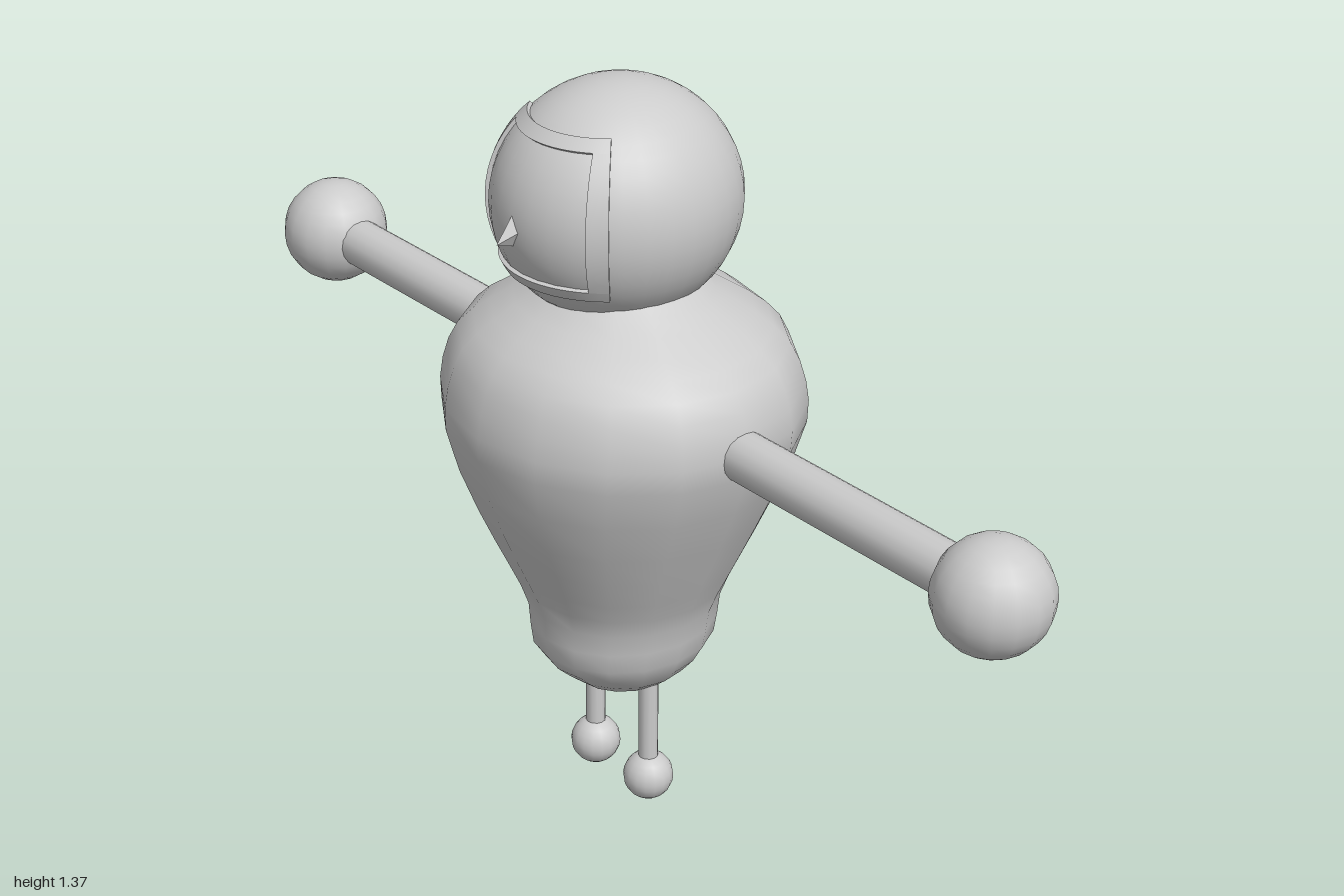
import * as THREE from 'three';
import { mergeVertices } from 'three/addons/utils/BufferGeometryUtils.js';

const material = new THREE.MeshStandardMaterial({ color: 0xcccccc });
const HEAD = new THREE.Vector3(-0.003, 1.16, -0.022);
const HEAD_R = new THREE.Vector3(0.222, 0.21, 0.207);
const deg = THREE.MathUtils.degToRad;

function add(parent, name, geometry, x = 0, y = 0, z = 0) {
  const mesh = new THREE.Mesh(geometry, material);
  mesh.name = name;
  mesh.position.set(x, y, z);
  parent.add(mesh);
  return mesh;
}

// Smooth pear-shaped torso: a lathe whose depth varies with height
function bodyGeometry() {
  // height, half width, half depth
  const rings = [
    [0.208, 0, 0], [0.22, 0.06, 0.055], [0.262, 0.12, 0.118], [0.32, 0.17, 0.156],
    [0.4, 0.176, 0.172], [0.48, 0.208, 0.208], [0.6, 0.262, 0.264], [0.76, 0.312, 0.33],
    [0.84, 0.305, 0.33], [0.91, 0.278, 0.3], [0.96, 0.225, 0.235], [1.005, 0.155, 0.165],
    [1.03, 0.13, 0.13], [1.04, 0, 0],
  ].map(([y, w, d]) => new THREE.Vector3(w, y, d));
  const points = new THREE.CatmullRomCurve3(rings).getPoints(26);
  const geo = new THREE.LatheGeometry(points.map(p => new THREE.Vector2(p.x, p.y)), 16);
  const pos = geo.attributes.position;
  for (let i = 0; i < pos.count; i++) {
    const p = points[i % points.length];
    if (p.x > 0) pos.setZ(i, pos.getZ(i) * p.z / p.x);
  }
  geo.deleteAttribute('uv');
  geo.deleteAttribute('normal');
  const merged = mergeVertices(geo);
  merged.computeVertexNormals();
  return merged;
}

// Block bent onto the head: azimuth and latitude ranges in degrees
function headBand(az0, az1, lat0, lat1) {
  const geo = new THREE.BoxGeometry(1, 1, 1, Math.ceil((az1 - az0) / 5), Math.ceil((lat1 - lat0) / 5), 1);
  const pos = geo.attributes.position;
  for (let i = 0; i < pos.count; i++) {
    const az = deg(THREE.MathUtils.lerp(az0, az1, pos.getX(i) + 0.5));
    const lat = deg(THREE.MathUtils.lerp(lat0, lat1, pos.getY(i) + 0.5));
    const r = pos.getZ(i) > 0 ? 1.03 : 0.95;
    pos.setXYZ(i,
      -Math.cos(lat) * Math.cos(az) * HEAD_R.x * r,
      Math.sin(lat) * HEAD_R.y * r,
      Math.cos(lat) * Math.sin(az) * HEAD_R.z * r);
  }
  geo.computeVertexNormals();
  return geo;
}

export function createModel() {
  const model = new THREE.Group();
  model.name = 'figure';

  add(model, 'body', bodyGeometry(), 0, 0, -0.01);

  // Head
  const skull = new THREE.SphereGeometry(1, 32, 24).scale(HEAD_R.x, HEAD_R.y, HEAD_R.z);
  add(model, 'head', skull, HEAD.x, HEAD.y, HEAD.z);

  // Raised frame around the face, which looks toward -x
  const frame = new THREE.Group();
  frame.name = 'faceFrame';
  frame.position.copy(HEAD);
  model.add(frame);
  add(frame, 'frameTop', headBand(-50, 50, 41, 48));
  add(frame, 'frameBottom', headBand(-50, 50, -31, -25));
  add(frame, 'frameSideA', headBand(-50, -40, -25, 41));
  add(frame, 'frameSideB', headBand(40, 50, -25, 41));

  // Pointed nose: triangular outline with the tip sunk toward its lower edge
  const nose = new THREE.ConeGeometry(1, 1, 4, 1).toNonIndexed();
  const np = nose.attributes.position;
  for (let i = 0; i < np.count; i++) {
    const tip = np.getY(i) > 0 && Math.abs(np.getX(i)) + Math.abs(np.getZ(i)) < 0.01;
    const u = np.getX(i), w = np.getZ(i);
    np.setXYZ(i, tip ? -0.256 : -0.2, tip ? 1.137 : 1.167 + u * 0.047, HEAD.z + w * 0.026);
  }
  nose.computeVertexNormals();
  add(model, 'nose', nose);

  // Straight arms with ball hands
  for (const s of [1, -1]) {
    const side = s > 0 ? 'front' : 'back';
    add(model, side + 'Arm', new THREE.CylinderGeometry(0.045, 0.045, 0.7, 16).rotateX(Math.PI / 2), 0, 0.8, s * 0.52);
    add(model, side + 'Hand', new THREE.SphereGeometry(0.1, 16, 14), 0, 0.8, s * 0.9);
  }

  // Thin legs with ball feet
  for (const z of [0.067, -0.088]) {
    const side = z > 0 ? 'front' : 'back';
    add(model, side + 'Leg', new THREE.CylinderGeometry(0.018, 0.018, 0.25, 12), -0.003, 0.185, z);
    add(model, side + 'Foot', new THREE.SphereGeometry(0.046, 16, 12), -0.003, 0.046, z);
  }
  return model;
}
